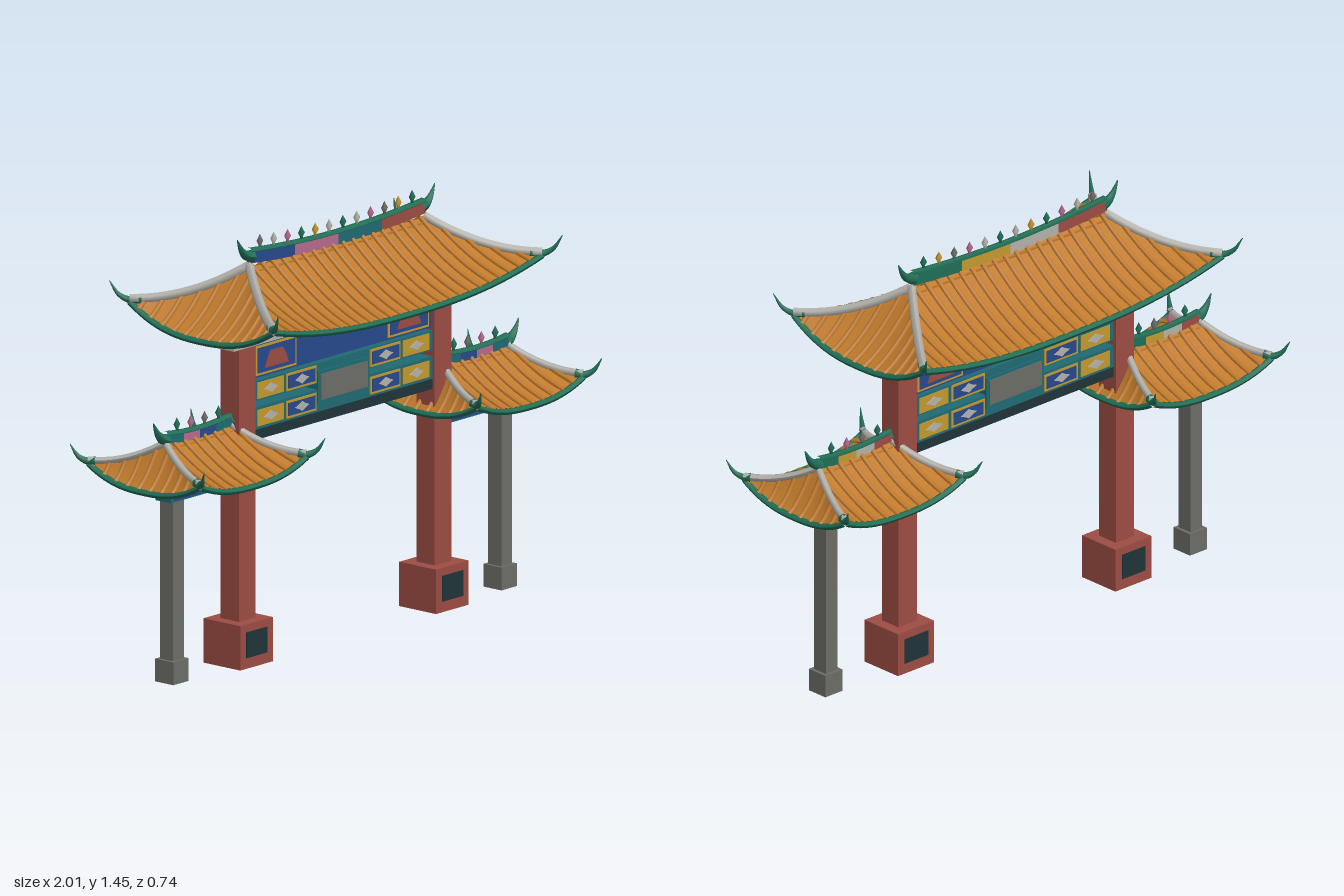
import * as THREE from 'three';
import { mergeGeometries } from 'three/addons/utils/BufferGeometryUtils.js';

const V = (x, y, z) => new THREE.Vector3(x, y, z);
const mat = (name, color, side = THREE.FrontSide) => {
  const m = new THREE.MeshStandardMaterial({ color, side });
  m.name = name;
  return m;
};

export function createModel() {
  const M = {
    red: mat('red', 0x9c4c43), grey: mat('stone grey', 0x6c6c67), pale: mat('pale stone', 0xb3b1aa),
    orange: mat('tile orange', 0xc07a2b, THREE.DoubleSide), green: mat('jade green', 0x1f6e55),
    dark: mat('dark slate', 0x1f3439), blue: mat('blue', 0x27488c), pink: mat('pink', 0xb5698c),
    teal: mat('teal', 0x206a73), gold: mat('gold', 0xc3982e),
  };
  const root = new THREE.Group();
  root.name = 'gateway';

  const add = (parent, name, geo, m) => {
    const mesh = new THREE.Mesh(geo, m);
    mesh.name = name;
    parent.add(mesh);
    return mesh;
  };
  // Box given by its extents in x and y, and its half depth about z
  const block = (parent, name, m, x0, x1, y0, y1, d, z = 0) => {
    const mesh = add(parent, name, new THREE.BoxGeometry(x1 - x0, y1 - y0, d * 2), m);
    mesh.position.set((x0 + x1) / 2, (y0 + y1) / 2, z);
    return mesh;
  };
  // Thin flat plate, placed on the front and on the back at distance z
  const plates = (parent, name, m, x0, x1, y0, y1, z) => {
    for (const s of [1, -1]) block(parent, name, m, x0, x1, y0, y1, 0.002, s * z);
  };
  const shapePlates = (parent, name, m, pts, x, y, z) => {
    const geo = new THREE.ExtrudeGeometry(new THREE.Shape(pts.map(p => new THREE.Vector2(...p))),
      { depth: 0.004, bevelEnabled: false }).translate(x, y, -0.002);
    for (const s of [1, -1]) add(parent, name, geo, m).position.z = s * z;
  };
  // Tube whose radius follows a rule along the path
  const sweep = (pts, radius, seg = 12, sides = 6) => {
    const curve = new THREE.CatmullRomCurve3(pts);
    const geo = new THREE.TubeGeometry(curve, seg, 1, sides);
    const p = geo.attributes.position;
    for (let i = 0; i < p.count; i++) {
      const t = Math.floor(i / (sides + 1)) / seg;
      const c = curve.getPointAt(t);
      const q = V(0, 0, 0).fromBufferAttribute(p, i).sub(c).multiplyScalar(radius(t)).add(c);
      p.setXYZ(i, q.x, q.y, q.z);
    }
    geo.computeVertexNormals();
    return geo;
  };
  const steps = (n, f) => Array.from({ length: n + 1 }, (_, i) => f(i / n));

  // Hipped roof with sagging eaves, tile ribs, hips, horns and a crested ridge
  function roof(name, o) {
    const g = new THREE.Group();
    g.name = name;
    const { a, b, D, top, drop } = o;
    const point = (side, u, v, up = 0) => {
      const w = a + (b - a) * v;
      const sag = (side ? o.sagSide : o.sagFront) * (1 - Math.abs(u) ** 2.5) * v ** 1.3;
      const y = top - drop * v * (2 - v) - sag + up;
      return side ? V(w, y, -u * D * v) : V(u * w, y, D * v);
    };
    for (let turn = 0; turn < 2; turn++) {
      const half = new THREE.Group();
      half.name = turn ? 'backHalf' : 'frontHalf';
      half.rotation.y = turn * Math.PI;
      g.add(half);
      for (const side of [0, 1]) {
        const geo = new THREE.PlaneGeometry(1, 1, 24, 8);
        const p = geo.attributes.position, uv = geo.attributes.uv;
        for (let i = 0; i < p.count; i++) {
          const q = point(side, uv.getX(i) * 2 - 1, 1 - uv.getY(i));
          p.setXYZ(i, q.x, q.y, q.z);
        }
        geo.computeVertexNormals();
        add(half, side ? 'sideSlope' : 'mainSlope', geo, M.orange);

        // Ribs run straight down the slope
        const ribs = [], reach = side ? D : b, n = Math.floor((reach - 0.02) / 0.05 - 0.5);
        for (let k = -n - 1; k <= n; k++) {
          const c = (k + 0.5) * 0.05;
          const v0 = side ? Math.abs(c) / D : Math.max(0, (Math.abs(c) - a) / (b - a));
          const pts = steps(6, t => {
            const v = v0 + (1 - v0) * t;
            return point(side, c / (side ? D * v : a + (b - a) * v), v, 0.003);
          });
          ribs.push(sweep(pts, () => 0.009, 6, 6));
        }
        add(half, 'tileRibs', mergeGeometries(ribs), M.orange);
        add(half, 'eaveTrim', sweep(steps(16, t => point(side, t * 2 - 1, 1, -0.003)), () => 0.011, 24), M.green);
      }
      // Hips and their upturned horns
      for (const s of [-1, 1]) {
        const hip = steps(8, t => point(0, s, t, 0.008));
        add(half, 'hip', sweep(hip, () => o.hip, 12), M.pale);
        const c = point(0, s, 1, 0.004), k = o.horn;
        const horn = [point(0, s, 0.9, 0.006), c, V(c.x + s * 0.022 * k, c.y + 0.018 * k, c.z + 0.03 * k),
          V(c.x + s * 0.04 * k, c.y + 0.065 * k, c.z + 0.056 * k)];
        add(half, 'horn', sweep(horn, t => 0.017 * (1 - t * 0.93)), M.green);
      }
    }
    block(g, 'roofCore', M.orange, -a * 0.95, a * 0.95, o.coreY, top - 0.01, 0.02);

    // Ridge panels curve up toward both ends
    const lift = x => o.lift * (x / a) ** 2;
    const w = 2 * a / 4;
    const panel = (m, i, z) => {
      const geo = new THREE.BoxGeometry(w, o.ridgeH, 0.011, 4).translate(-a + w * (i + 0.5), top + o.ridgeH / 2 - 0.005, z);
      const p = geo.attributes.position;
      for (let j = 0; j < p.count; j++) p.setY(j, p.getY(j) + lift(p.getX(j)));
      add(g, 'ridgePanel', geo, m);
    };
    o.front.forEach((c, i) => panel(M[c], i, 0.0055));
    o.back.forEach((c, i) => panel(M[c], i, -0.0055));
    const capY = top + o.ridgeH - 0.003;
    add(g, 'ridgeCap', sweep(steps(10, t => V((t * 2 - 1) * a, capY + lift((t * 2 - 1) * a), 0)), () => 0.012, 16), M.green);
    for (const s of [-1, 1]) {
      const y = capY + o.lift;
      add(g, 'ridgeHorn', sweep([V(s * a * 0.97, y - 0.02, 0), V(s * (a + 0.015), y - 0.012, 0),
        V(s * (a + 0.038), y + 0.01, 0), V(s * (a + 0.06), y + 0.05, 0)],
      t => 0.022 * (1 - t * 0.93)), M.green);
    }
    // Pointed finials along the crest
    const lathe = [[0, 0], [0.006, 0.004], [0.005, 0.012], [0.012, 0.026], [0, 0.05]];
    const finial = new THREE.LatheGeometry(lathe.map(p => new THREE.Vector2(...p)), 6);
    o.finials.forEach((c, i) => {
      const x = (i - (o.finials.length - 1) / 2) * 0.07;
      add(g, 'finial', finial, M[c]).position.set(x, capY + lift(x) + 0.004, 0);
    });
    root.add(g);
    return g;
  }

  roof('mainRoof', {
    a: 0.44, b: 0.68, D: 0.315, top: 1.34, drop: 0.12, sagFront: 0.072, sagSide: 0.085, hip: 0.016, horn: 1,
    coreY: 1.13, ridgeH: 0.038, lift: 0.022,
    front: ['blue', 'pink', 'teal', 'red'], back: ['red', 'pale', 'gold', 'green'],
    finials: ['grey', 'pale', 'pink', 'green', 'gold', 'pale', 'green', 'pale', 'pink', 'grey', 'gold', 'green'],
  });
  for (const s of [1, -1]) {
    const front = ['teal', 'blue', 'pink', 'teal'], back = ['red', 'pale', 'gold', 'green'];
    const wing = roof(s > 0 ? 'leftRoof' : 'rightRoof', {
      a: 0.165, b: 0.27, D: 0.245, top: 0.815, drop: 0.08, sagFront: 0.05, sagSide: 0.06, hip: 0.013, horn: 0.9,
      coreY: 0.68, ridgeH: 0.028, lift: 0.012,
      front: s > 0 ? front : front.reverse(), back,
      finials: s > 0 ? ['green', 'grey', 'pink', 'green'] : ['green', 'pink', 'grey', 'green'],
    });
    wing.position.x = s * 0.7;
  }

  // Pillars, posts and wing beams, once for each side
  for (const s of [1, -1]) {
    const g = new THREE.Group();
    g.name = s > 0 ? 'leftSupports' : 'rightSupports';
    root.add(g);
    const at = (x, h) => [s * x - h, s * x + h];
    block(g, 'pillar', M.red, ...at(0.495, 0.042), 0.15, 1.085, 0.04);
    block(g, 'pillarBase', M.red, ...at(0.495, 0.082), 0, 0.152, 0.081);
    plates(g, 'basePanel', M.dark, ...at(0.495, 0.053), 0.037, 0.125, 0.082);
    block(g, 'post', M.grey, ...at(0.83, 0.027), 0.075, 0.63, 0.029);
    block(g, 'postBase', M.grey, ...at(0.83, 0.039), 0, 0.078, 0.04);
    block(g, 'wingBeam', M.teal, ...at(0.704, 0.17), 0.623, 0.69, 0.034);
    plates(g, 'wingBeamPanel', M.blue, ...at(0.704, 0.155), 0.628, 0.685, 0.035);
    plates(g, 'wingBeamInlay', M.gold, ...at(0.704, 0.072), 0.64, 0.664, 0.038);
  }

  // Crossbeams between the pillars
  const beams = new THREE.Group();
  beams.name = 'crossbeams';
  root.add(beams);
  block(beams, 'upperBoard', M.blue, -0.455, 0.455, 0.965, 1.086, 0.025);
  block(beams, 'middleBeam', M.teal, -0.455, 0.455, 0.888, 0.957, 0.03);
  block(beams, 'lowerBeam', M.teal, -0.455, 0.455, 0.79, 0.867, 0.03);
  block(beams, 'bottomBeam', M.dark, -0.455, 0.455, 0.755, 0.79, 0.03);
  block(beams, 'plaqueFrame', M.teal, -0.13, 0.13, 0.82, 0.93, 0.034);
  block(beams, 'plaque', M.grey, -0.118, 0.118, 0.83, 0.918, 0.038);

  // Framed painted panels
  const framed = (x, y, hw, hh, z, m) => {
    plates(beams, 'panelFrame', M.gold, x - hw, x + hw, y - hh, y + hh, z);
    plates(beams, 'panelField', m, x - hw + 0.008, x + hw - 0.008, y - hh + 0.008, y + hh - 0.008, z + 0.002);
  };
  const diamond = [[-0.036, 0], [-0.016, -0.008], [0, -0.017], [0.016, -0.008],
    [0.036, 0], [0.016, 0.008], [0, 0.017], [-0.016, 0.008]];
  const emblem = [[-0.06, -0.03], [0.06, -0.03], [0.045, 0.005], [0.03, 0.026], [-0.03, 0.026], [-0.045, 0.005]];
  for (const s of [1, -1]) {
    framed(s * 0.335, 1.023, 0.103, 0.051, 0.026, M.blue);
    shapePlates(beams, 'emblem', M.red, emblem, s * 0.335, 1.023, 0.03);
    for (const y of [0.922, 0.828]) {
      framed(s * 0.212, y, 0.076, 0.03, 0.031, M.blue);
      plates(beams, 'goldPanel', M.gold, s * 0.368 - 0.066, s * 0.368 + 0.066, y - 0.028, y + 0.028, 0.031);
      for (const x of [0.212, 0.368]) shapePlates(beams, 'diamond', M.pale, diamond, s * x, y, 0.035);
    }
  }

  // Stone lintel with a row of bracket blocks
  block(beams, 'lintel', M.pale, -0.57, 0.57, 1.085, 1.112, 0.046);
  block(beams, 'lintelCap', M.pale, -0.53, 0.53, 1.11, 1.145, 0.03);
  for (let i = 0; i < 15; i++) {
    const x = (i - 7) * 0.074;
    block(beams, 'bracket', M.pale, x - 0.02, x + 0.02, 1.102, 1.13, 0.064);
  }
  return root;
}
